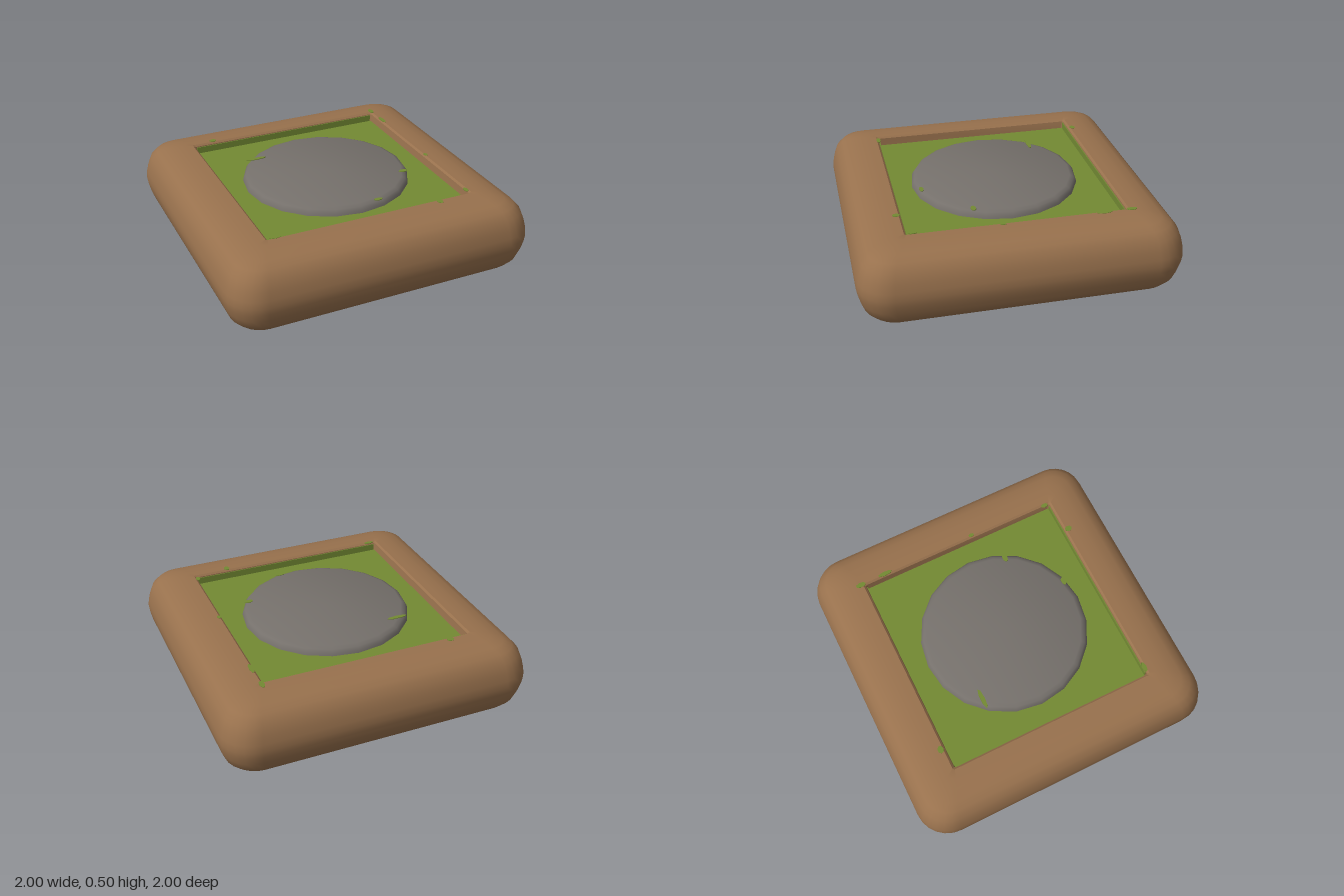
import * as THREE from 'three';
import { toCreasedNormals } from 'three/addons/utils/BufferGeometryUtils.js';

const paint = (name, color) => {
  const m = new THREE.MeshStandardMaterial({ color });
  m.name = name;
  return m;
};

// Corner points of a rounded square ring with half size h and corner radius r
function squareRing(h, r, y, steps = 6) {
  const pts = [];
  for (let q = 0; q < 4; q++) {
    const mid = (q + 0.5) * Math.PI / 2;
    const cx = Math.sign(Math.cos(mid)) * (h - r), cz = Math.sign(Math.sin(mid)) * (h - r);
    for (let s = 0; s <= steps; s++) {
      const a = (q + s / steps) * Math.PI / 2;
      pts.push(cx + r * Math.cos(a), y, cz + r * Math.sin(a));
    }
  }
  return pts;
}

// Sweep a [half size, height] profile around the square
function squareLoft(profile) {
  const pos = [], index = [];
  for (const [h, y] of profile) {
    pos.push(...squareRing(h, 0.012 + Math.max(0, h - 0.69) * 0.62, y));
  }
  const n = pos.length / 3 / profile.length;
  for (let i = 0; i < profile.length - 1; i++) {
    for (let j = 0; j < n; j++) {
      const k = (j + 1) % n, a = i * n + j, b = i * n + k;
      index.push(a, b, a + n, b, b + n, a + n);
    }
  }
  const g = new THREE.BufferGeometry();
  g.setAttribute('position', new THREE.Float32BufferAttribute(pos, 3));
  g.setIndex(index);
  return toCreasedNormals(g, 0.6);
}

export function createModel() {
  const brown = paint('earth brown', 0x98714d);
  const green = paint('moss green', 0x738a33);
  const grey = paint('stone grey', 0x75706b);
  const model = new THREE.Group();
  model.name = 'slab';
  const add = (name, geometry, material, x = 0, y = 0, z = 0) => {
    const mesh = new THREE.Mesh(geometry, material);
    mesh.name = name;
    mesh.position.set(x, y, z);
    model.add(mesh);
    return mesh;
  };

  // Pillow-edged square frame, same above and below its middle
  const mid = 0.255;
  const upper = [[0.67, 0.43], [0.678, 0.488], [0.69, 0.499], [0.74, 0.498], [0.8, 0.493],
    [0.87, 0.478], [0.92, 0.455], [0.96, 0.41], [0.982, 0.35], [0.994, 0.3]];
  const lower = upper.map(([h, y]) => [h, 2 * mid - y]).reverse();
  add('frame', squareLoft([...upper, [1, mid], ...lower]), brown);

  // Mossy floor of both recesses
  add('mossFloor', new THREE.BoxGeometry(1.36, 0.37, 1.36), green, 0, mid, 0);

  // Bevelled discs in the upper and lower recess
  const disc = (name, points, material) => add(name, toCreasedNormals(
    new THREE.LatheGeometry(points.map(p => new THREE.Vector2(...p)), 20), 0.6), material);
  disc('stoneDisc', [[0.545, 0.43], [0.54, 0.455], [0.525, 0.477], [0.5, 0.488], [0, 0.492]], grey);
  disc('undersideDisc', [[0, 0], [0.515, 0.004], [0.535, 0.035], [0.545, 0.08]], brown);

  // Moss covering the front and back walls of the upper recess
  for (const s of [-1, 1]) {
    add('mossWall', new THREE.BoxGeometry(1.33, 0.044, 0.006), green, 0, 0.462, s * 0.671);
  }

  // Small moss patches: x, z, width, depth, height of the surface
  const patches = [
    [0.69, -0.705, 0.035, 0.07, 0.499], [0.695, -0.53, 0.03, 0.1, 0.499],
    [-0.54, -0.705, 0.05, 0.04, 0.499], [0.695, 0.1, 0.025, 0.04, 0.499],
    [0.45, 0.705, 0.04, 0.05, 0.499], [-0.63, 0.68, 0.07, 0.03, 0.499],
    [0.675, 0.64, 0.03, 0.05, 0.499], [-0.36, -0.33, 0.14, 0.03, 0.491],
    [0.45, 0.23, 0.06, 0.035, 0.489], [0.13, 0.5, 0.06, 0.03, 0.486],
  ];
  for (const [x, z, w, d, y] of patches) {
    const patch = add('mossPatch', new THREE.CylinderGeometry(0.5, 0.5, 0.004, 7), green, x, y, z);
    patch.scale.set(w, 1, d);
  }
  return model;
}
